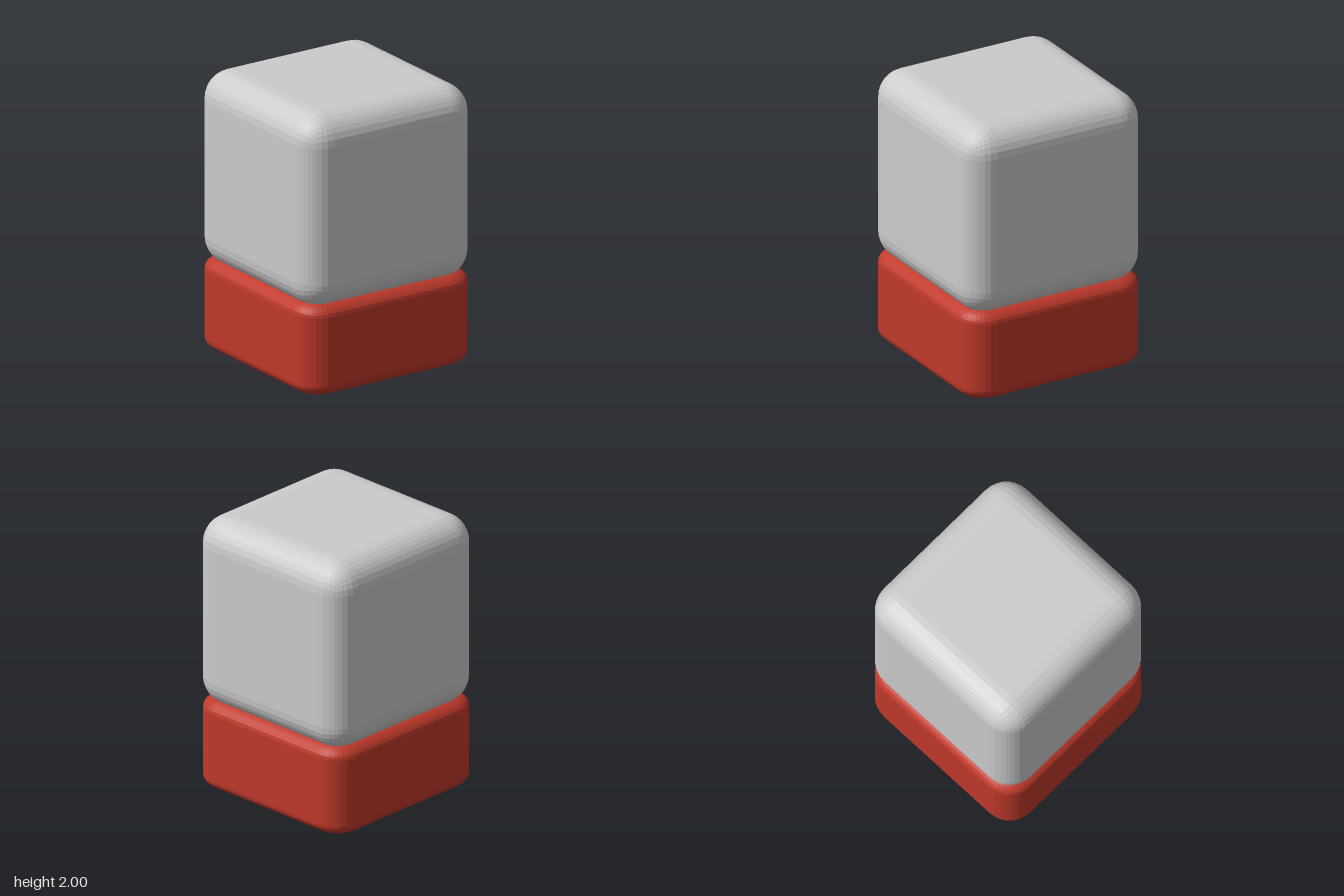
import * as THREE from 'three';
import { RoundedBoxGeometry } from 'three/addons/geometries/RoundedBoxGeometry.js';

const SIDE = 1.38;
const RADIUS = 0.2;

// A rounded cube, squashed to the given height, standing on y = bottom
function roundedBlock(name, color, bottom, height) {
  const geometry = new RoundedBoxGeometry(SIDE, SIDE, SIDE, 4, RADIUS);
  geometry.scale(1, height / SIDE, 1);
  const material = new THREE.MeshStandardMaterial({ color, flatShading: true });
  const mesh = new THREE.Mesh(geometry, material);
  mesh.name = name;
  mesh.position.y = bottom + height / 2;
  return mesh;
}

export function createModel() {
  const model = new THREE.Group();
  model.name = 'stackedBlocks';

  // Half-height red base; the grey cube sinks slightly into its top
  model.add(roundedBlock('base', 0xc0392b, 0, SIDE / 2));
  model.add(roundedBlock('upperBlock', 0xcccccc, 2 - SIDE, SIDE));

  return model;
}
